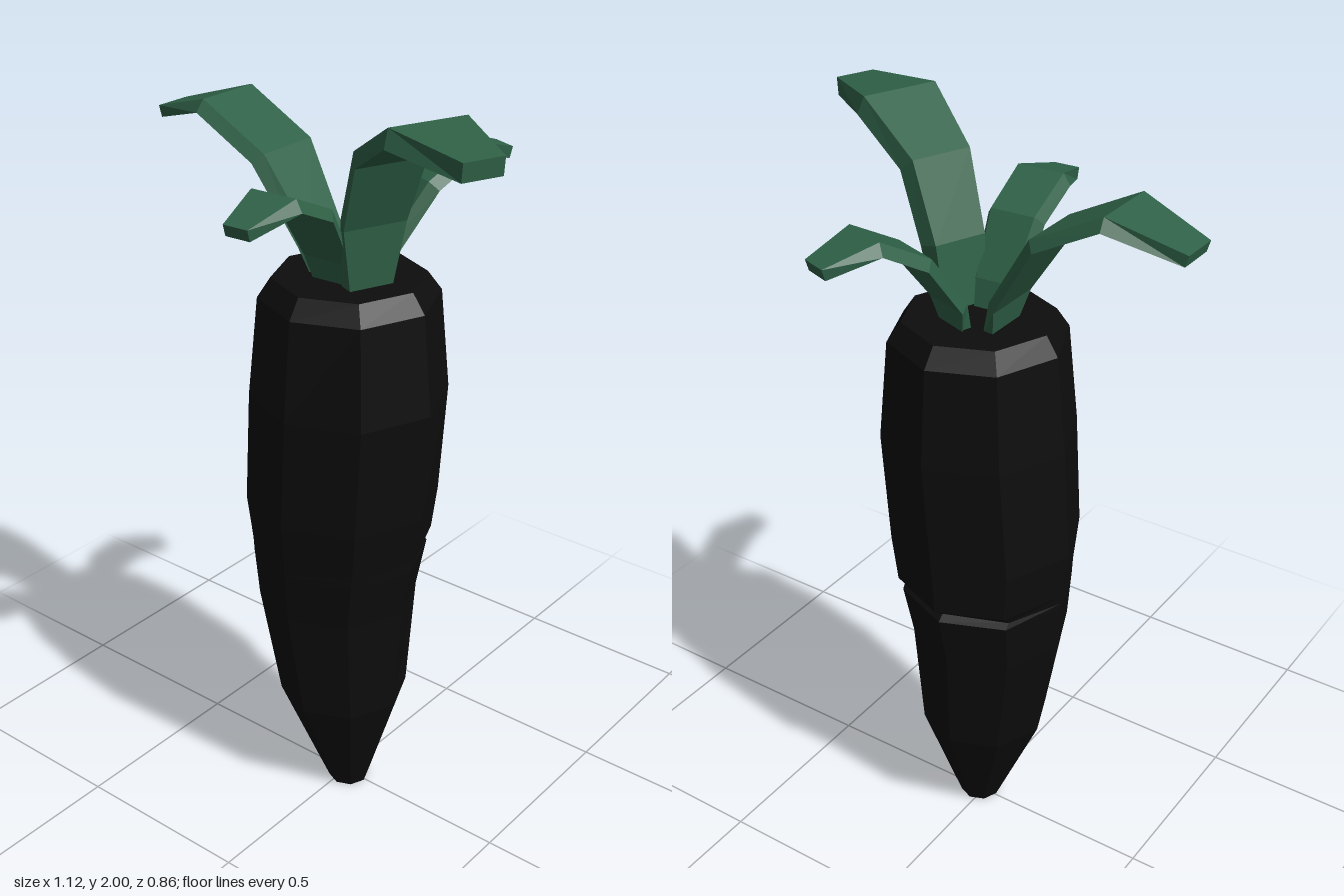
import * as THREE from 'three';

const rootMaterial = new THREE.MeshStandardMaterial({ color: 0x0d0d0d, flatShading: true });
rootMaterial.name = 'charcoal black';
const leafMaterial = new THREE.MeshStandardMaterial({ color: 0x2f6147, flatShading: true });
leafMaterial.name = 'leaf green';

// Skin a closed, capped surface over cross-sections (counterclockwise seen from the last one)
function loft(sections) {
  const n = sections[0].length;
  const positions = [];
  const tri = (a, b, c) => positions.push(...a, ...b, ...c);
  for (let i = 0; i < sections.length - 1; i++) {
    const low = sections[i], high = sections[i + 1];
    for (let j = 0; j < n; j++) {
      const k = (j + 1) % n;
      tri(low[j], low[k], high[k]);
      tri(low[j], high[k], high[j]);
    }
  }
  const first = sections[0], last = sections[sections.length - 1];
  for (let j = 1; j < n - 1; j++) {
    tri(first[0], first[j + 1], first[j]);
    tri(last[0], last[j], last[j + 1]);
  }
  const geometry = new THREE.BufferGeometry();
  geometry.setAttribute('position', new THREE.Float32BufferAttribute(positions, 3));
  geometry.computeVertexNormals();
  return geometry;
}

// Octagonal root: [y, minX, maxX, minZ, maxZ, depth of the groove at the back]
function createRoot() {
  const rings = [
    [0.00, -0.04, 0.07, -0.05, 0.06, 0],
    [0.31, -0.175, 0.17, -0.17, 0.18, 0],
    [0.62, -0.23, 0.195, -0.20, 0.22, 0],
    [0.755, -0.24, 0.22, -0.222, 0.237, 0],
    [0.77, -0.24, 0.222, -0.225, 0.239, 0.022],
    [0.795, -0.242, 0.227, -0.236, 0.242, 0],
    [0.92, -0.255, 0.25, -0.24, 0.257, 0],
    [1.22, -0.235, 0.27, -0.245, 0.26, 0],
    [1.48, -0.208, 0.245, -0.222, 0.235, 0],
    [1.53, -0.175, 0.21, -0.185, 0.2, 0],
  ];
  const sections = rings.map(([y, x0, x1, z0, z1, groove]) =>
    Array.from({ length: 8 }, (_, j) => {
      const a = (j * Math.PI) / 4;
      const x = (x0 + x1) / 2 + (Math.cos(a) * (x1 - x0)) / 2;
      const z = (z0 + z1) / 2 - (Math.sin(a) * (z1 - z0)) / 2;
      return [x, y, z + groove * Math.max(0, Math.sin(a))];
    }));
  const root = new THREE.Mesh(loft(sections), rootMaterial);
  root.name = 'root';
  return root;
}

// Arching leaf with a trapezoid section; profile rows are [reach, y, half width of the top face]
function createLeaf({ name, base, tip, thickness, flare, profile }) {
  const dir = new THREE.Vector2(tip[0] - base[0], tip[1] - base[1]).normalize();
  const sections = profile.map(([r, y, w], i) => {
    const prev = profile[Math.max(i - 1, 0)];
    const next = profile[Math.min(i + 1, profile.length - 1)];
    const t = new THREE.Vector2(next[0] - prev[0], next[1] - prev[1]).normalize();
    const point = (reach, height, side) => [
      base[0] + dir.x * reach + dir.y * side,
      height,
      base[1] + dir.y * reach - dir.x * side,
    ];
    const r2 = r + t.y * thickness, y2 = y - t.x * thickness;
    const atEnd = i === 0 || i === profile.length - 1;
    const wide = w + (atEnd ? 0 : flare);
    return [point(r2, y2, -wide), point(r2, y2, wide), point(r, y, w), point(r, y, -w)];
  });
  const leaf = new THREE.Mesh(loft(sections), leafMaterial);
  leaf.name = name;
  return leaf;
}

const leaves = [
  {
    name: 'leftLeaf', base: [0.07, 0.025], tip: [0.54, 0.22], thickness: 0.045, flare: 0.015,
    profile: [[0, 1.51, 0.055], [0.02, 1.7, 0.07], [0.1, 1.89, 0.08], [0.285, 1.995, 0.1], [0.505, 1.972, 0.052]],
  },
  {
    name: 'rightLeaf', base: [-0.03, 0], tip: [-0.56, 0], thickness: 0.03, flare: 0.022,
    profile: [[0, 1.51, 0.05], [0.025, 1.61, 0.06], [0.15, 1.81, 0.087], [0.34, 1.91, 0.088], [0.53, 1.853, 0.05]],
  },
  {
    name: 'frontLeaf', base: [0.01, 0.04], tip: [0.035, 0.43], thickness: 0.03, flare: 0.018,
    profile: [[0, 1.51, 0.045], [0.02, 1.6, 0.05], [0.11, 1.745, 0.06], [0.25, 1.81, 0.063], [0.39, 1.772, 0.034]],
  },
  {
    name: 'backLeaf', base: [0.035, -0.04], tip: [0.172, -0.418], thickness: 0.03, flare: 0.018,
    profile: [[0, 1.51, 0.04], [0.02, 1.6, 0.05], [0.13, 1.75, 0.066], [0.265, 1.825, 0.062], [0.4, 1.785, 0.035]],
  },
];

export function createModel() {
  const model = new THREE.Group();
  model.name = 'rootVegetable';
  model.add(createRoot());
  const foliage = new THREE.Group();
  foliage.name = 'foliage';
  leaves.forEach((leaf) => foliage.add(createLeaf(leaf)));
  model.add(foliage);
  return model;
}
